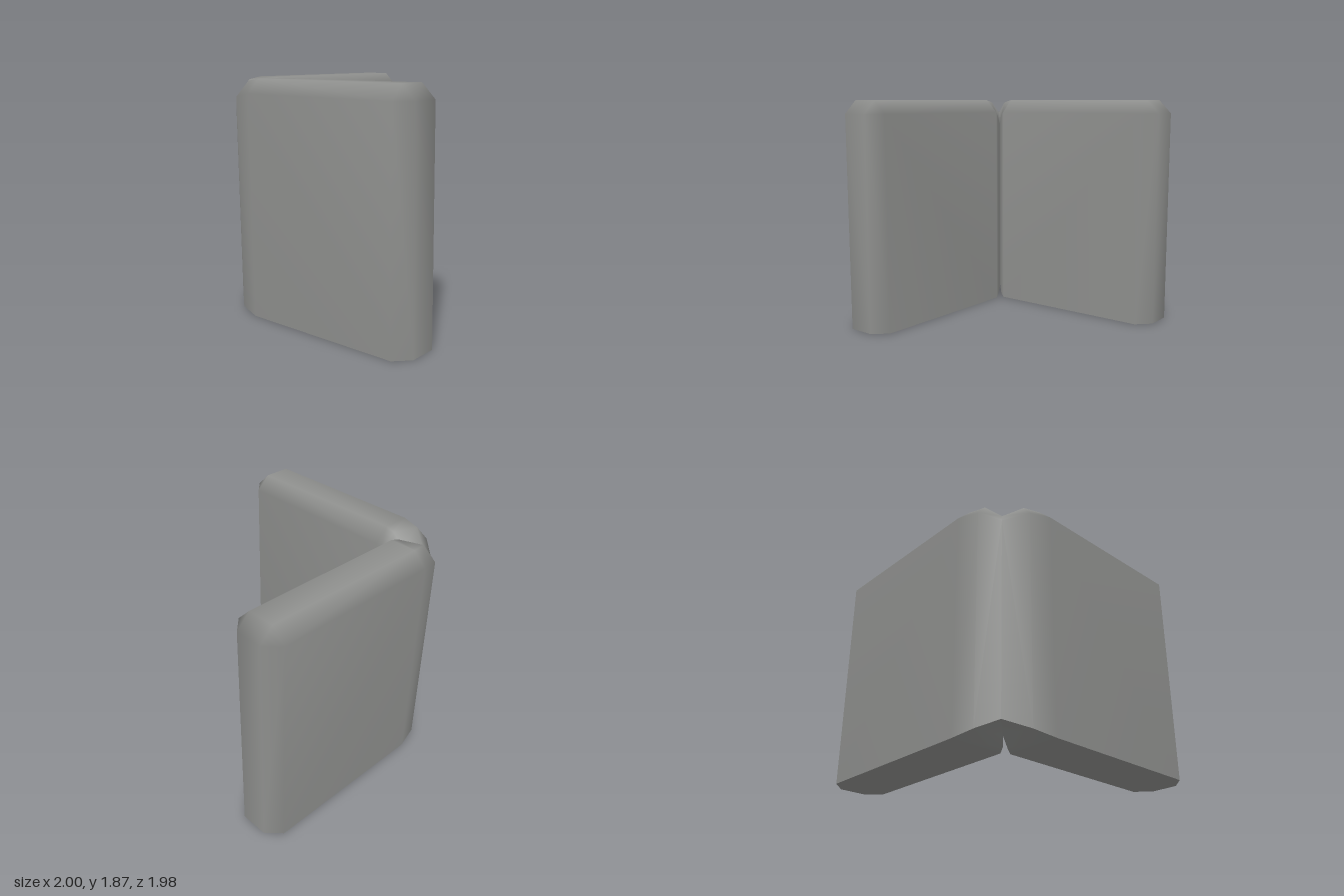
import * as THREE from 'three';
import { mergeVertices } from 'three/addons/utils/BufferGeometryUtils.js';

const lerp = THREE.MathUtils.lerp;

// Each section: outer [along, across], inner [along, across],
// bottom height, wall height, ridge height, inset of the ridges (0..1 of the width)
const seam = { o: [-0.83, -0.83], i: [-0.61, -0.61], y: [0.09, 1.65, 1.75], t: 0.25 };

function armSections(outer, inner, end, bendStart) {
  const full = [0, 1.76, 1.87];
  return [
    seam,
    { o: [bendStart - 0.18, outer + 0.04], i: [bendStart - 0.04, inner - 0.015], y: [0.03, 1.73, 1.85], t: 0.25 },
    { o: [bendStart, outer], i: [bendStart, inner], y: full, t: 0.25 },
    { o: [end - 0.11, outer], i: [end - 0.11, inner], y: full, t: 0.25 },
    { o: [end, outer + 0.11], i: [end, inner - 0.11], y: [0, 1.76, 1.76], t: 0 },
  ];
}

// Six points around a section, from outer foot over the top to inner foot
function ring({ o, i, y, t }) {
  const at = (k, h) => [lerp(o[0], i[0], k), h, lerp(o[1], i[1], k)];
  return [at(0, y[0]), at(0, y[1]), at(t, y[2]), at(1 - t, y[2]), at(1, y[1]), at(1, y[0])];
}

// Smooth mesh from triangles; alongZ swaps the axes and flips the corner order
function surface(triangles, alongZ, material, name) {
  const pos = [];
  for (const tri of triangles) {
    const [a, b, c] = tri;
    const ab = new THREE.Vector3(b[0] - a[0], b[1] - a[1], b[2] - a[2]);
    const ac = new THREE.Vector3(c[0] - a[0], c[1] - a[1], c[2] - a[2]);
    if (ab.cross(ac).length() < 1e-7) continue;
    for (const p of alongZ ? [a, c, b] : tri) pos.push(...(alongZ ? [p[2], p[1], p[0]] : p));
  }
  let geometry = new THREE.BufferGeometry();
  geometry.setAttribute('position', new THREE.Float32BufferAttribute(pos, 3));
  geometry = mergeVertices(geometry, 1e-4);
  geometry.computeVertexNormals();
  const mesh = new THREE.Mesh(geometry, material);
  mesh.name = name;
  return mesh;
}

function wall(sections, alongZ, material, name) {
  const rings = sections.map(ring);
  const shell = [];
  const under = [];
  const quad = (list, a, b, c, d) => list.push([a, b, c], [b, d, c]);
  for (let s = 0; s < rings.length - 1; s++) {
    const r = rings[s], n = rings[s + 1];
    for (let i = 0; i < 5; i++) quad(shell, r[i], r[i + 1], n[i], n[i + 1]);
    quad(under, r[0], n[0], r[5], n[5]);
  }
  // flat face at the free end
  const e = rings[rings.length - 1];
  quad(shell, e[0], e[1], e[5], e[4]);

  const group = new THREE.Group();
  group.name = name;
  group.add(surface(shell, alongZ, material, name + 'Shell'));
  group.add(surface(under, alongZ, material, name + 'Underside'));
  return group;
}

export function createModel() {
  const stone = new THREE.MeshStandardMaterial({ color: 0x8e8f8d });
  stone.name = 'stone grey';

  const model = new THREE.Group();
  model.name = 'cornerWall';
  model.add(wall(armSections(-0.99, -0.55, 1, -0.52), false, stone, 'backWall'));
  model.add(wall(armSections(-1, -0.555, 0.99, -0.49), true, stone, 'sideWall'));
  return model;
}
